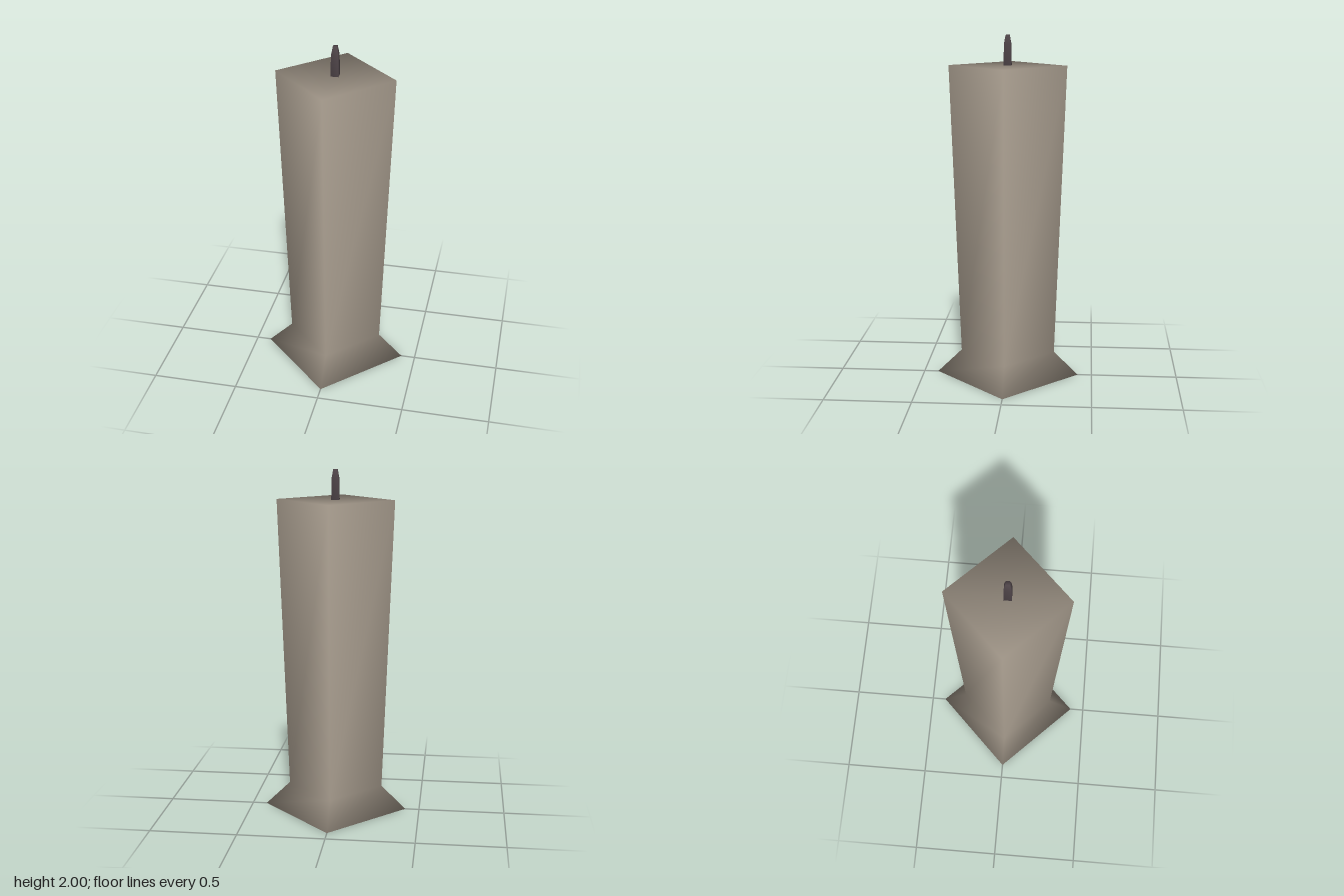
import * as THREE from 'three';

// Smooth four-sided solid. Each ring is [corner radius, height, outward normal, upward normal].
function squareLoft(rings, turn) {
  const positions = [], normals = [], index = [];
  for (const [r, y, nOut, nUp] of rings) {
    const len = Math.hypot(nOut, nUp);
    for (let i = 0; i < 4; i++) {
      const a = turn + i * Math.PI / 2;
      const s = Math.sin(a), c = Math.cos(a);
      positions.push(r * s, y, r * c);
      normals.push(nOut * s / len, nUp / len, nOut * c / len);
    }
  }
  // side walls
  for (let k = 0; k < rings.length - 1; k++) {
    for (let i = 0; i < 4; i++) {
      const a = k * 4 + i, b = k * 4 + (i + 1) % 4;
      index.push(a, b, b + 4, a, b + 4, a + 4);
    }
  }
  // bottom and top caps
  const t = (rings.length - 1) * 4;
  index.push(0, 2, 1, 0, 3, 2, t, t + 1, t + 2, t, t + 2, t + 3);
  const g = new THREE.BufferGeometry();
  g.setAttribute('position', new THREE.Float32BufferAttribute(positions, 3));
  g.setAttribute('normal', new THREE.Float32BufferAttribute(normals, 3));
  g.setIndex(index);
  return g;
}

export function createModel() {
  const group = new THREE.Group();
  const wax = new THREE.MeshStandardMaterial({ color: 0x978d80 });
  wax.name = 'wax';
  const charred = new THREE.MeshStandardMaterial({ color: 0x4e4448 });
  charred.name = 'charred wick';

  // tapered body standing on a flared foot, corners on the x and z axes
  const body = new THREE.Mesh(squareLoft([
    [0.418, 0, 0.97, -0.24],
    [0.275, 0.14, 0.95, 0.32],
    [0.336, 1.83, 0.72, 0.69],
  ], 0), wax);
  body.name = 'candleBody';

  // square wick with a blunt tapered tip, sides facing the axes
  const wick = new THREE.Mesh(squareLoft([
    [0.031, 1.82, 1, 0],
    [0.028, 1.95, 0.97, 0.25],
    [0.016, 2, 0.7, 0.7],
  ], Math.PI / 4), charred);
  wick.name = 'wick';

  group.add(body, wick);
  return group;
}
